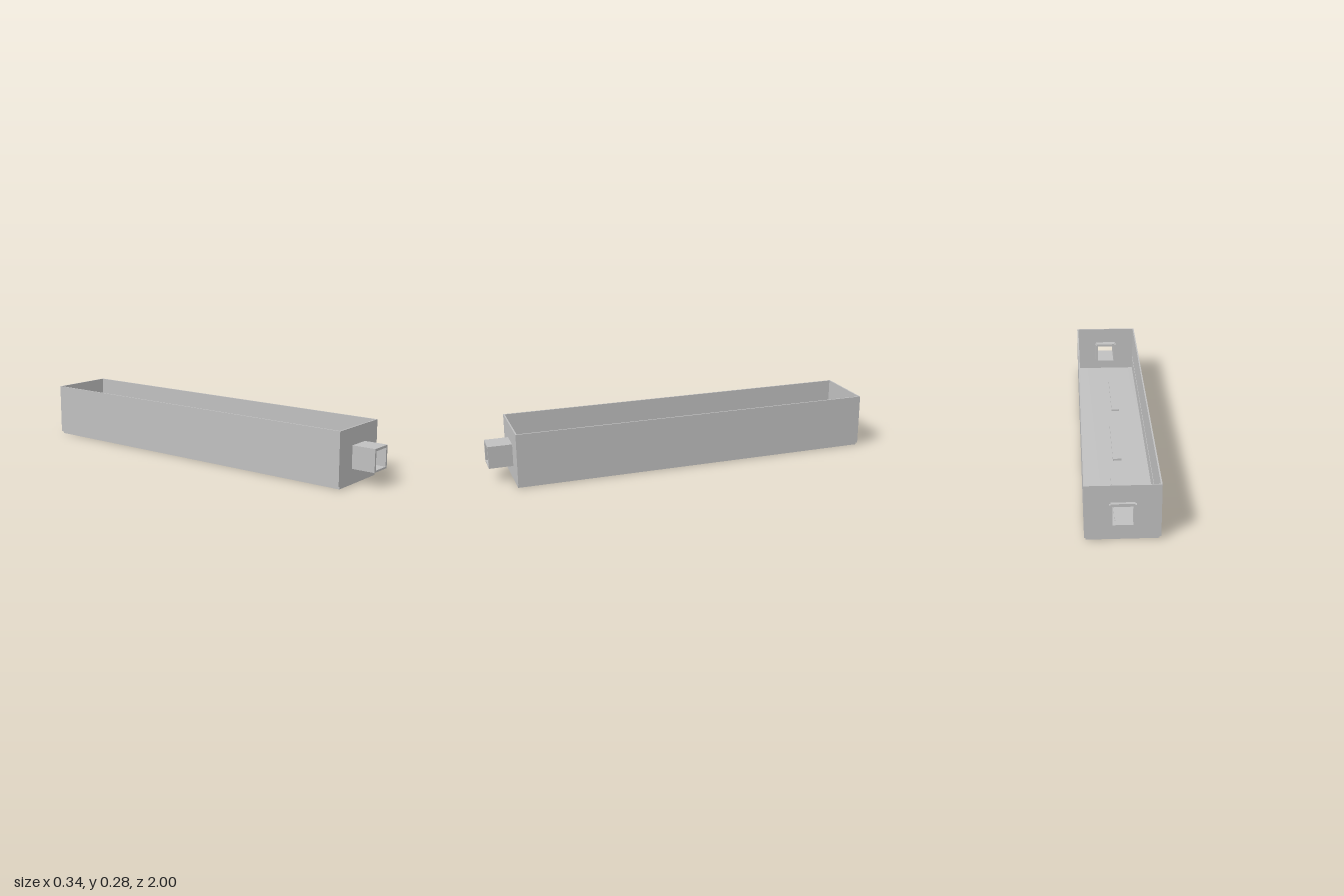
import * as THREE from 'three';
import { mergeVertices } from 'three/addons/utils/BufferGeometryUtils.js';

const grey = new THREE.MeshStandardMaterial({ color: 0xc0c0c0 });
grey.name = 'plain grey';

export function createModel() {
  const group = new THREE.Group();
  group.name = 'openTrough';

  const add = (name, geometry) => {
    const mesh = new THREE.Mesh(geometry, grey);
    mesh.name = name;
    group.add(mesh);
    return mesh;
  };

  // Box given by its limits on each axis
  const box = (name, x0, x1, y0, y1, z0, z1) => {
    const g = new THREE.BoxGeometry(x1 - x0, y1 - y0, z1 - z0);
    g.translate((x0 + x1) / 2, (y0 + y1) / 2, (z0 + z1) / 2);
    return add(name, g);
  };

  const outline = (points) => points.map(([x, y]) => new THREE.Vector2(x, y));
  const rect = (x, y0, y1) => outline([[-x, y0], [x, y0], [x, y1], [-x, y1]]);

  // Flat outline with a square opening, extruded from z0 to z1
  const pierced = (name, points, z0, z1) => {
    const shape = new THREE.Shape(points);
    shape.holes.push(new THREE.Path(rect(0.046, 0.085, 0.177)));
    const g = new THREE.ExtrudeGeometry(shape, { depth: z1 - z0, bevelEnabled: false });
    g.translate(0, 0, z0);
    return add(name, g);
  };

  const W = 0.17, TOP = 0.275, BACK = -0.985, FRONT = 0.88, T = 0.007, STEP = 0.013;

  // Base, inset below the walls
  box('base', -0.163, 0.163, 0, STEP, BACK + T, FRONT);

  // Floor plate with softly blended normals
  const floor = new THREE.BoxGeometry(2 * (W - T), 0.01, FRONT - BACK - 2 * T);
  floor.deleteAttribute('normal');
  floor.deleteAttribute('uv');
  const soft = mergeVertices(floor);
  soft.computeVertexNormals();
  soft.translate(0, STEP + 0.005, (FRONT + BACK) / 2);
  add('floor', soft);

  // Side walls, each with a shallow inner ledge
  for (const [side, s] of [['left', 1], ['right', -1]]) {
    const span = (a, b) => (s > 0 ? [a, b] : [-b, -a]);
    box(side + 'Wall', ...span(W - T, W), STEP, TOP, BACK, FRONT);
    box(side + 'Ledge', ...span(W - T - 0.002, W - T), STEP, 0.098, BACK + T, FRONT - T);
  }

  // End walls with square openings
  pierced('frontWall', rect(W - T, STEP, TOP), FRONT - T, FRONT);
  pierced('backWall', rect(W - T, STEP, TOP), BACK, BACK + T);

  // Square spout
  pierced('spout', rect(0.057, 0.076, 0.189), 0.86, 1);

  // Window frames with notched corners
  const a = 0.06, b = 0.054, lo = 0.073, hi = 0.191, n = 0.006;
  const notched = outline([
    [-b, lo], [b, lo], [b, lo + n], [a, lo + n], [a, hi - n], [b, hi - n],
    [b, hi], [-b, hi], [-b, hi - n], [-a, hi - n], [-a, lo + n], [-b, lo + n],
  ]);
  pierced('frontInnerFrame', notched, 0.838, FRONT - T);
  pierced('backFrame', notched, -1, -0.967);

  // Small tongue under the back opening
  box('backTongue', -0.03, 0.03, 0.074, 0.083, -0.967, -0.927);

  // Staggered strips along the floor
  const strips = [[0.01, -0.69], [-0.01, -0.12], [-0.03, 0.45]];
  for (const [x, z] of strips) {
    box('floorStrip', x - 0.021, x + 0.021, 0.022, 0.034, z - 0.19, z + 0.19);
  }

  return group;
}
